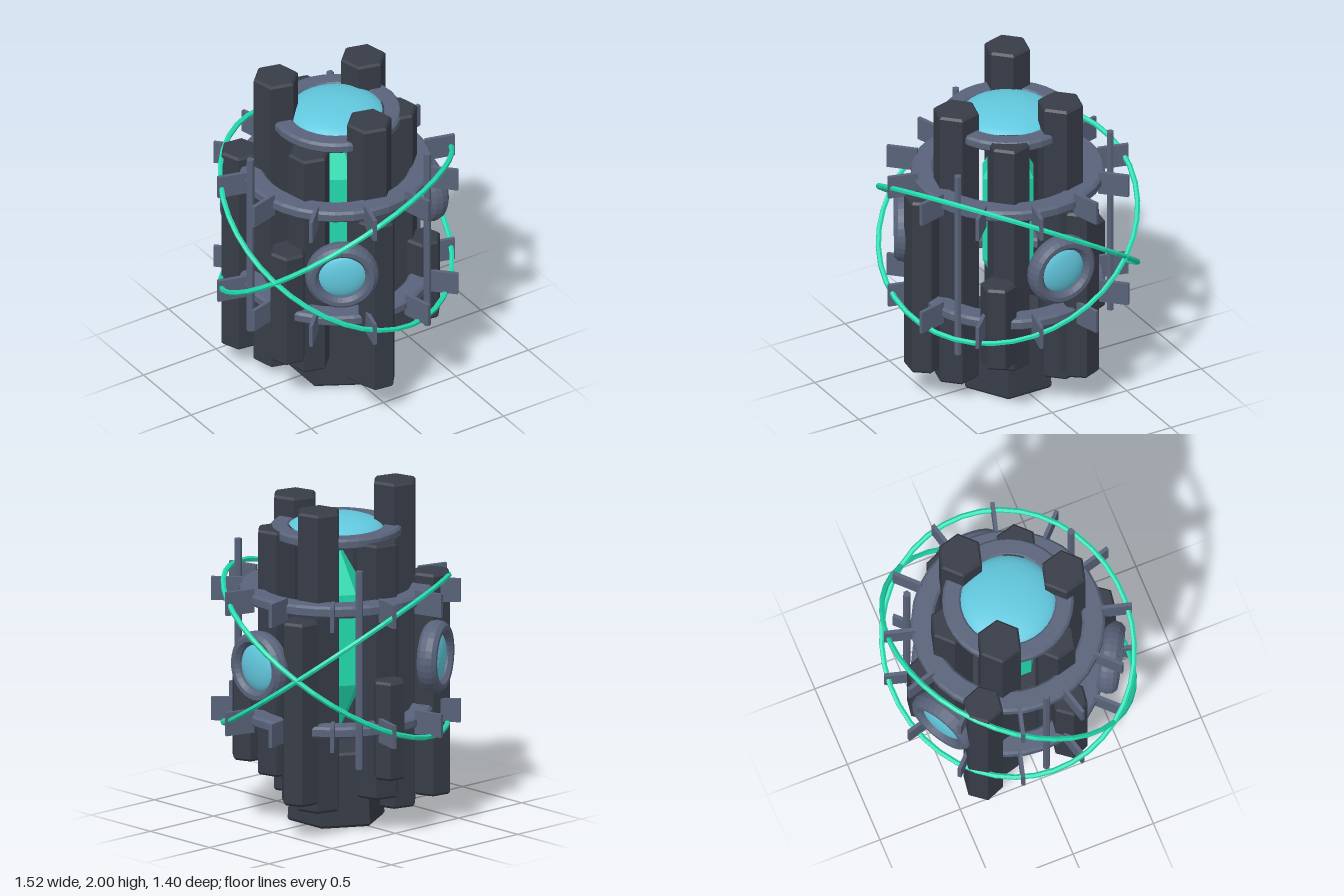
import * as THREE from 'three';

const rad = THREE.MathUtils.degToRad;

function material(name, color, flatShading) {
  const m = new THREE.MeshStandardMaterial({ color, flatShading });
  m.name = name;
  return m;
}

export function createModel() {
  const model = new THREE.Group();
  model.name = 'columnReactor';
  const stone = material('dark stone', 0x373c47, true);
  const metal = material('slate metal', 0x59637a, true);
  const glass = material('cyan glass', 0x62c8de, false);
  const glow = material('green glow', 0x22dcb0, true);

  function add(name, geometry, mat, parent = model) {
    const mesh = new THREE.Mesh(geometry, mat);
    mesh.name = name;
    parent.add(mesh);
    return mesh;
  }
  function lathe(points, sides) {
    return new THREE.LatheGeometry(points.map(([x, y]) => new THREE.Vector2(x, y)), sides);
  }
  // Angle is measured from +x towards +z
  function place(object, angle, radius, y = 0) {
    object.position.set(radius * Math.cos(rad(angle)), y, radius * Math.sin(rad(angle)));
    return object;
  }

  // Hexagonal columns with small bevels
  function column(name, angle, distance, r, bottom, top, turn) {
    const b = 0.014;
    const g = lathe([[0, bottom], [r - b, bottom], [r, bottom + b], [r, top - b], [r - b, top], [0, top]], 6);
    place(add(name, g, stone), angle, distance).rotation.y = rad(turn);
  }
  [ // angle, radius, bottom, top
    [30, 0.125, 0.29, 1.75], [90, 0.135, 0.11, 1.87], [150, 0.125, 0.21, 1.67],
    [210, 0.135, 0.06, 2.0], [270, 0.132, 0.2, 1.72], [330, 0.135, 0.14, 1.92],
  ].forEach(([a, r, b, t]) => column('innerColumn', a, 0.348, r, b, t, 15));
  [ // angle, distance, radius, bottom, top
    [37, 0.505, 0.105, 0.37, 0.9], [97, 0.53, 0.115, 0.19, 1.32], [157, 0.5, 0.11, 0.32, 1.06],
    [217, 0.555, 0.118, 0.135, 1.46], [276, 0.508, 0.098, 0.345, 0.93], [337, 0.51, 0.115, 0.21, 1.3],
  ].forEach(([a, d, r, b, t]) => column('outerColumn', a, d, r, b, t, 22));

  // Central pedestal, spindle and crystal
  add('pedestal', lathe([[0, 0], [0.275, 0], [0.287, 0.015], [0.26, 0.425], [0.25, 0.44], [0, 0.44]], 6), stone);
  add('spindle', new THREE.CylinderGeometry(0.025, 0.025, 0.16, 6).translate(0, 0.51, 0), metal);
  add('crystal', lathe([[0, 0.54], [0.025, 0.54], [0.17, 0.82], [0.17, 1.36], [0.025, 1.62], [0, 1.62]], 6), glow);

  // Flat chamfered hoops
  function hoop(name, inner, outer, y0, y1) {
    const c = 0.014;
    add(name, lathe([
      [inner, y0 + c], [inner + c, y0], [outer - c, y0], [outer, y0 + c],
      [outer, y1 - c], [outer - c, y1], [inner + c, y1], [inner, y1 - c], [inner, y0 + c],
    ], 32), metal);
  }
  hoop('lowerHoop', 0.43, 0.56, 0.612, 0.68);
  hoop('upperHoop', 0.43, 0.56, 1.33, 1.4);
  hoop('domeRim', 0.27, 0.38, 1.69, 1.755);
  add('topDome', new THREE.SphereGeometry(0.285, 32, 16).scale(1, 0.31, 1).translate(0, 1.722, 0), glass);

  // Radial fins on both hoops
  for (const y of [0.645, 1.362]) {
    for (let i = 0; i < 12; i++) {
      const angle = 15 + 30 * i;
      const fin = add('fin', new THREE.BoxGeometry(0.18, 0.14, 0.022), metal);
      place(fin, angle, 0.63, y).rotation.y = -rad(angle);
    }
  }

  // Three upright rods and three portholes
  for (let i = 0; i < 3; i++) {
    const rod = add('rod', new THREE.CylinderGeometry(0.022, 0.022, 1.18, 6), metal);
    place(rod, 60 + 120 * i, 0.59, 1.03);

    const porthole = new THREE.Group();
    porthole.name = 'porthole';
    place(porthole, 120 * i, 0.6, 1.005).rotation.y = rad(90 - 120 * i);
    add('portholeRim', new THREE.TorusGeometry(0.172, 0.042, 10, 32).scale(1, 1, 1.45), metal, porthole);
    add('portholeGlass', new THREE.SphereGeometry(0.148, 24, 16).scale(1, 1, 0.35), glass, porthole);
    model.add(porthole);
  }

  // Two crossed orbit rings
  for (const tilt of [35, -35]) {
    const g = new THREE.TorusGeometry(0.78, 0.016, 6, 40);
    g.rotateX(Math.PI / 2).rotateZ(rad(tilt)).rotateY(-rad(60)).translate(0, 1.008, 0);
    add('orbitRing', g, glow);
  }
  return model;
}
